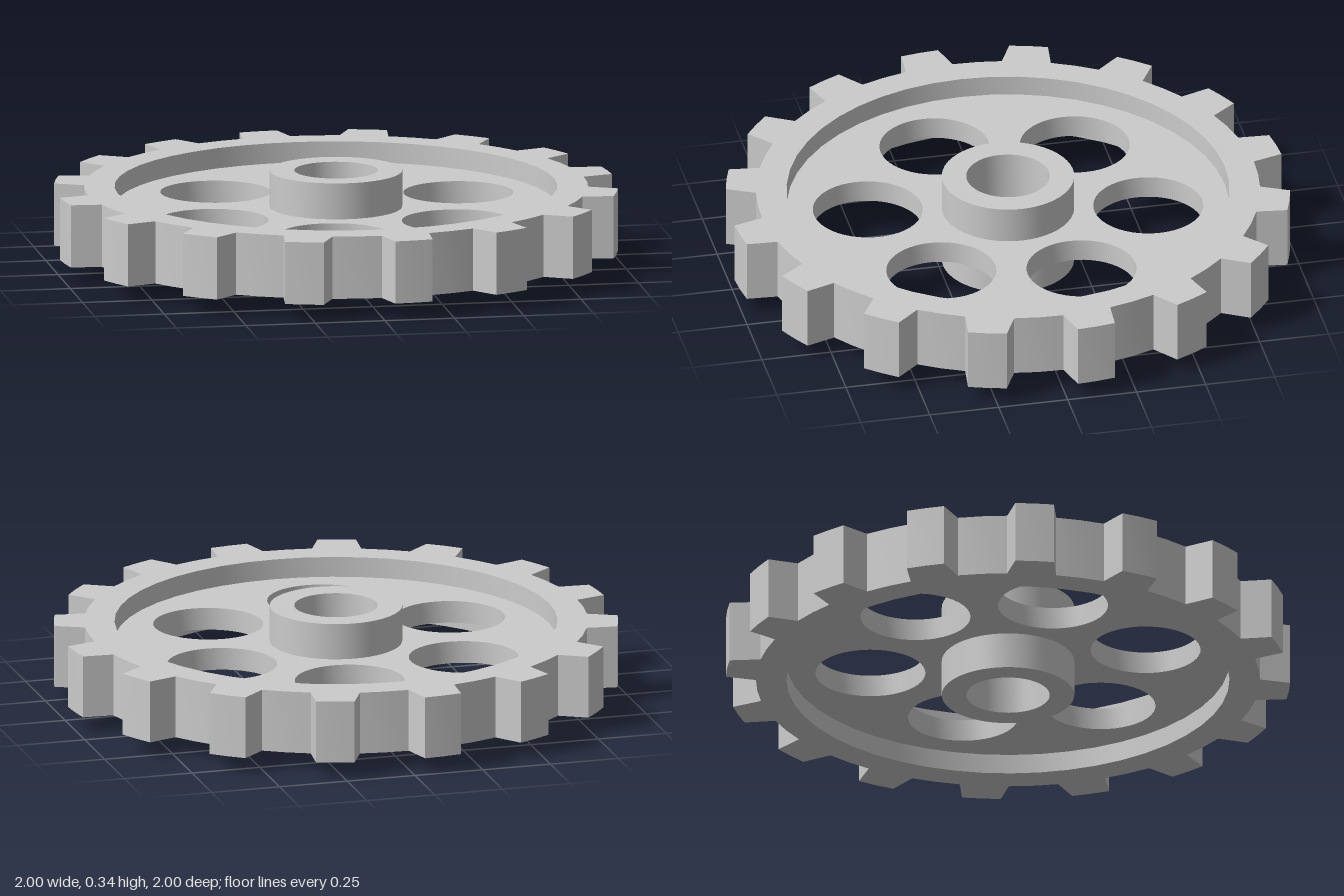
import * as THREE from 'three';
import { toCreasedNormals } from 'three/addons/utils/BufferGeometryUtils.js';

const RAD = Math.PI / 180;
const TEETH = 16, HOLES = 6;
const ROOT_R = 0.893, TIP_R = 1.0, RECESS_R = 0.785, HUB_R = 0.235, BORE_R = 0.148;

function circlePath(r, x = 0, y = 0, Type = THREE.Path) {
  const path = new Type();
  path.absarc(x, y, r, 0, Math.PI * 2, false);
  return path;
}

// Extrude a flat outline upward between two heights
function plate(name, shape, y0, y1, material) {
  const geo = new THREE.ExtrudeGeometry(shape, { depth: y1 - y0, bevelEnabled: false, curveSegments: 24 });
  geo.rotateX(-Math.PI / 2);
  geo.translate(0, y0, 0);
  const mesh = new THREE.Mesh(toCreasedNormals(geo, 25 * RAD), material);
  mesh.name = name;
  return mesh;
}

// Closed outline with tapered teeth
function toothedOutline() {
  const pts = [];
  const pitch = 360 / TEETH, tipHalf = 3.95, rootHalf = 5.6;
  const add = (r, deg) => pts.push(new THREE.Vector2(r * Math.cos(deg * RAD), r * Math.sin(deg * RAD)));
  for (let i = 0; i < TEETH; i++) {
    const c = 6.1 + i * pitch;
    add(ROOT_R, c - rootHalf);
    for (const k of [-1, 0, 1]) add(TIP_R, c + k * tipHalf);
    add(ROOT_R, c + rootHalf);
    add(ROOT_R, c + pitch / 2);
  }
  return new THREE.Shape(pts);
}

export function createModel() {
  const group = new THREE.Group();
  group.name = 'gear';
  const material = new THREE.MeshStandardMaterial({ color: 0xcccccc });

  // Toothed rim
  const rim = toothedOutline();
  rim.holes.push(circlePath(RECESS_R));
  group.add(plate('toothedRim', rim, 0.06, 0.285, material));

  // Thin web, recessed on both faces, with round lightening holes
  const web = circlePath(RECESS_R, 0, 0, THREE.Shape);
  web.holes.push(circlePath(HUB_R));
  for (let i = 0; i < HOLES; i++) {
    const a = (19.4 + i * 360 / HOLES) * RAD;
    web.holes.push(circlePath(0.195, 0.497 * Math.cos(a), 0.497 * Math.sin(a)));
  }
  group.add(plate('web', web, 0.132, 0.212, material));

  // Hub with a through bore
  const hub = circlePath(HUB_R, 0, 0, THREE.Shape);
  hub.holes.push(circlePath(BORE_R));
  group.add(plate('hub', hub, 0, 0.342, material));

  return group;
}
